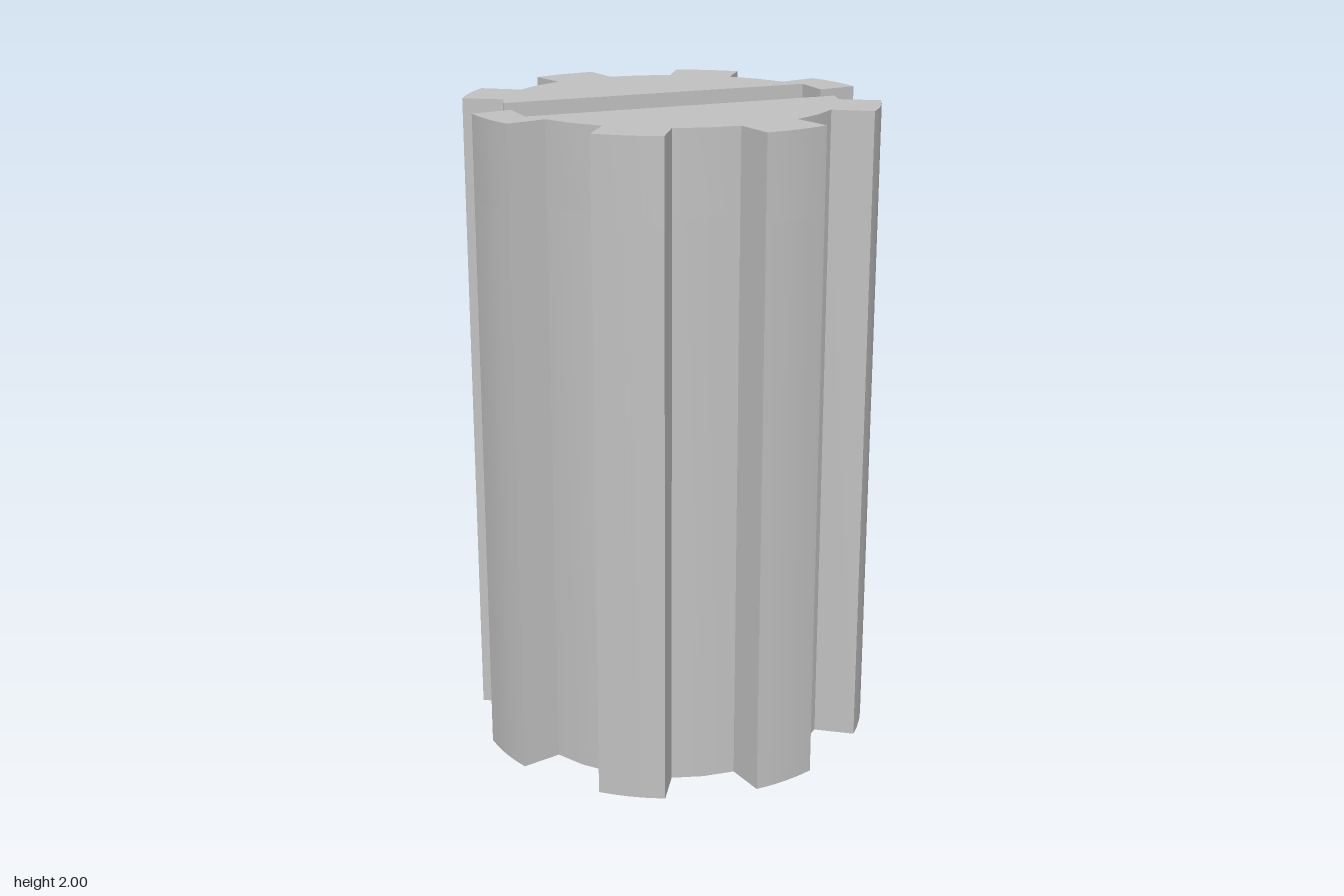
import * as THREE from 'three';
import { toCreasedNormals } from 'three/addons/utils/BufferGeometryUtils.js';

const ROOT = 0.5, TIP = 0.625, HEIGHT = 2, SLOT_FLOOR = 1.75, SLOT_HALF = 0.125;
const TEETH = 8;

const polar = (r, deg) => {
  const a = THREE.MathUtils.degToRad(deg);
  return new THREE.Vector2(r * Math.cos(a), r * Math.sin(a));
};

// Outline of consecutive teeth, each followed by its gap
function toothOutline(count) {
  const points = [];
  for (let i = 0; i < count; i++) {
    const start = i * 360 / TEETH;
    points.push(polar(ROOT, start));
    for (let k = 0; k <= 4; k++) points.push(polar(TIP, start + 1.85 + k * 4.7));
    points.push(polar(ROOT, start + 22.5), polar(ROOT, start + 33.75));
  }
  return points;
}

// Upright prism with smooth arcs and sharp corners
function prism(name, points, bottom, top, material) {
  const geometry = new THREE.ExtrudeGeometry(new THREE.Shape(points), {
    depth: top - bottom, bevelEnabled: false,
  });
  geometry.rotateX(-Math.PI / 2);
  geometry.translate(0, bottom, 0);
  const mesh = new THREE.Mesh(toCreasedNormals(geometry, 0.5), material);
  mesh.name = name;
  return mesh;
}

export function createModel() {
  const model = new THREE.Group();
  model.name = 'slottedGearShaft';
  const grey = new THREE.MeshStandardMaterial({ color: 0xc0c0c0 });
  grey.name = 'grey';

  // Toothed shaft up to the slot floor
  model.add(prism('shaft', toothOutline(TEETH), 0, SLOT_FLOOR, grey));

  // Half of the slotted top: four teeth, cut straight along the slot wall
  const half = toothOutline(TEETH / 2);
  const last = half.pop();
  const before = half[half.length - 1];
  const t = (before.y - SLOT_HALF) / (before.y - last.y);
  half.push(
    before.clone().lerp(last, t),
    new THREE.Vector2(ROOT, SLOT_HALF),
  );

  // The opposite half is the same piece turned half way round
  ['backTop', 'frontTop'].forEach((name, i) => {
    const mesh = prism(name, half, SLOT_FLOOR, HEIGHT, grey);
    mesh.rotation.y = i * Math.PI;
    model.add(mesh);
  });
  return model;
}
